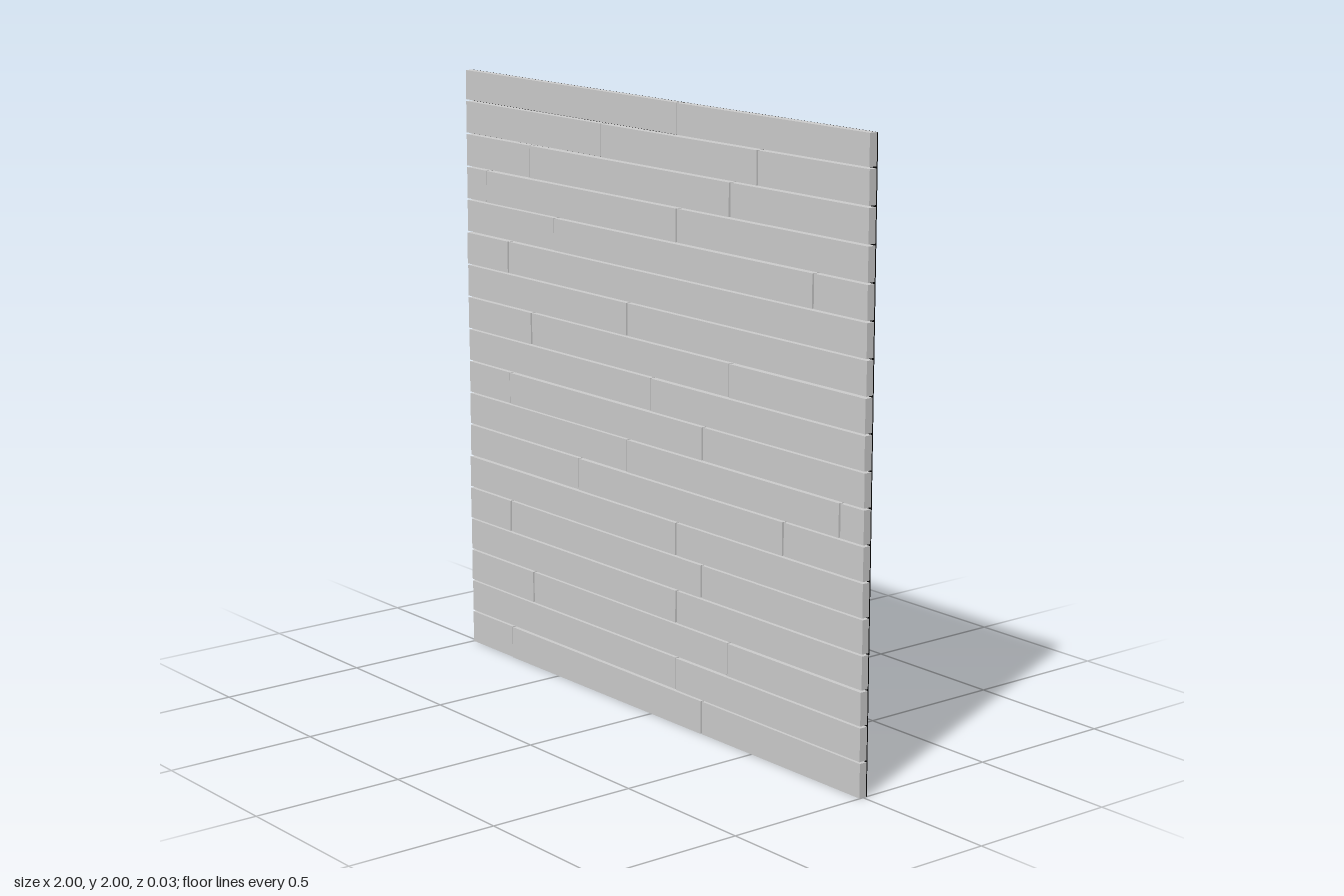
import * as THREE from 'three';

const ROW = 0.1117, GAP = 0.006, BACK = -0.015;

// x positions of the butt joints in each course, bottom to top
const JOINTS = [
  [-0.765, 0.255], [0.125], [-0.64, 0.38], [0.125], [-0.765, 0.25], [0.125],
  [-0.383, 0.64], [-0.127, 0.893], [-0.765, 0.255], [-0.005], [-0.64, 0.38],
  [-0.127], [-0.765], [-0.51, 0.763], [-0.887, 0.125], [-0.64, 0.38],
  [-0.26, 0.507], [0.125],
];

function box(name, material, x0, x1, y0, y1, z0, z1) {
  const mesh = new THREE.Mesh(new THREE.BoxGeometry(x1 - x0, y1 - y0, z1 - z0), material);
  mesh.position.set((x0 + x1) / 2, (y0 + y1) / 2, (z0 + z1) / 2);
  mesh.name = name;
  return mesh;
}

export function createModel() {
  const group = new THREE.Group();
  group.name = 'plankWall';
  const plankMaterial = new THREE.MeshStandardMaterial({ color: 0xcccccc });
  const backMaterial = new THREE.MeshStandardMaterial({ color: 0x050505 });

  // Dark sheet behind the planks, visible through the gaps
  group.add(box('backing', backMaterial, -1, 1, 0, 2, BACK, BACK + 0.002));

  // Courses of planks, with front faces at slightly different depths
  let count = 0;
  JOINTS.forEach((joints, row) => {
    const course = new THREE.Group();
    course.name = `course${row + 1}`;
    const ends = [-1, ...joints, 1];
    const y0 = row === 0 ? 0 : row * ROW + GAP / 2;
    const y1 = row === JOINTS.length - 1 ? 2 : (row + 1) * ROW - GAP / 2;
    for (let i = 0; i < ends.length - 1; i++) {
      const x0 = i === 0 ? -1 : ends[i] + GAP / 2;
      const x1 = i === ends.length - 2 ? 0.998 : ends[i + 1] - GAP / 2;
      const front = 0.012 + 0.0015 * ((count++ * 2) % 3);
      course.add(box('plank', plankMaterial, x0, x1, y0, y1, BACK + 0.002, front));
    }
    group.add(course);
  });
  return group;
}
